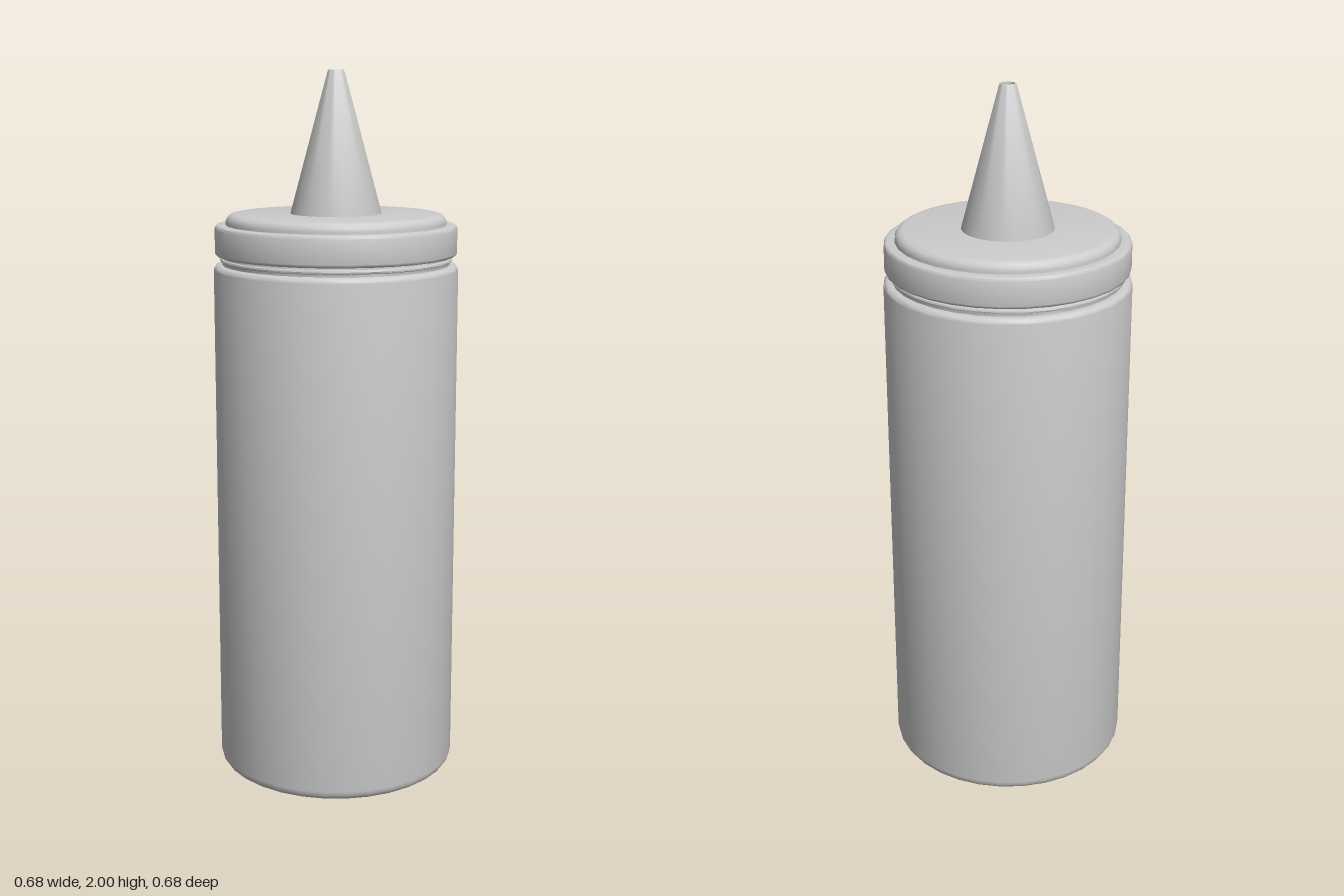
import * as THREE from 'three';
import { toCreasedNormals } from 'three/addons/utils/BufferGeometryUtils.js';

const material = new THREE.MeshStandardMaterial({ color: 0xcccccc });

// Turns a profile of [radius, height] points, listed from the bottom up the outside
function turned(name, profile, sides) {
  const points = profile.map(([r, y]) => new THREE.Vector2(r, y));
  const geometry = toCreasedNormals(new THREE.LatheGeometry(points, sides), 0.65);
  const mesh = new THREE.Mesh(geometry, material);
  mesh.name = name;
  return mesh;
}

// Quarter-round edge about a centre, from one angle to another (degrees)
function round(cr, cy, radius, from, to, steps = 4) {
  return Array.from({ length: steps + 1 }, (_, i) => {
    const a = THREE.MathUtils.degToRad(from + (to - from) * i / steps);
    return [cr + radius * Math.cos(a), cy + radius * Math.sin(a)];
  });
}

export function createModel() {
  const model = new THREE.Group();
  model.name = 'squeezeBottle';

  // Cylindrical body with rounded foot and shoulder
  model.add(turned('body', [
    [0, 0],
    ...round(0.312, 0.03, 0.03, -90, 0),
    ...round(0.327, 1.455, 0.015, 0, 90),
    [0.3, 1.47],
  ], 32));

  // Recessed neck with a small bead under the cap
  model.add(turned('neck', [
    [0.318, 1.465], [0.318, 1.477],
    ...round(0.318, 1.483, 0.006, -90, 90),
    [0.318, 1.5],
  ], 32));

  // Screw cap with a raised, softened top disc
  model.add(turned('cap', [
    [0, 1.495],
    ...round(0.329, 1.504, 0.009, -90, 0, 3),
    ...round(0.329, 1.571, 0.009, 0, 90, 3),
    [0.308, 1.58],
    ...round(0.284, 1.586, 0.024, 0, 90),
    [0, 1.61],
  ], 32));

  // Tapered nozzle with a hollow tip
  model.add(turned('nozzle', [
    [0.127, 1.605], [0.127, 1.61],
    [0.023, 1.997], [0.021, 2],
    [0.018, 2], [0.017, 1.97], [0, 1.96],
  ], 64));

  return model;
}
